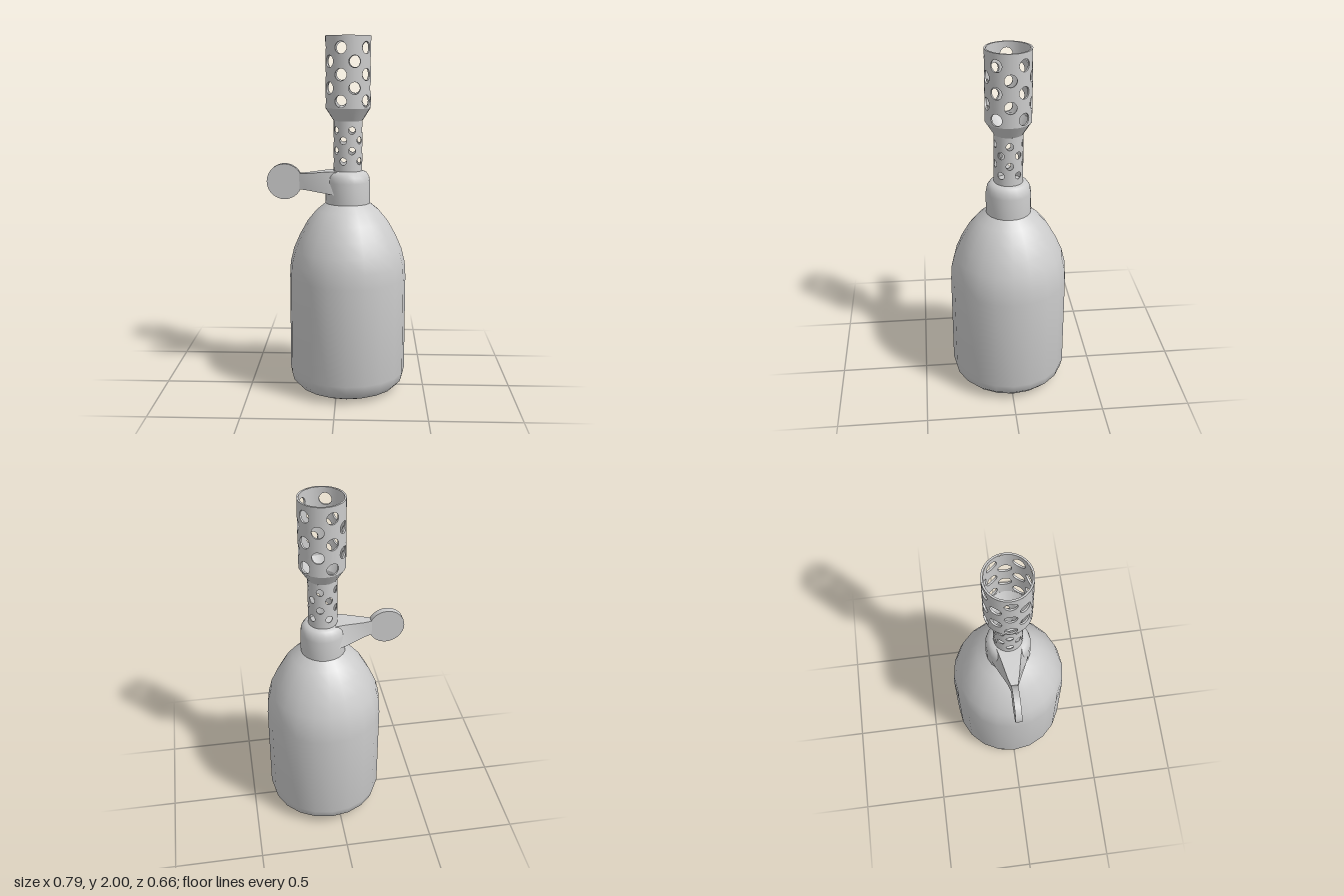
import * as THREE from 'three';
import { toCreasedNormals } from 'three/addons/utils/BufferGeometryUtils.js';

const grey = new THREE.MeshStandardMaterial({ color: 0xcccccc });

function part(name, geometry, parent) {
  const mesh = new THREE.Mesh(geometry, grey);
  mesh.name = name;
  parent.add(mesh);
  return mesh;
}

function lathe(profile, sides, crease = 0.6) {
  const points = profile.map(([r, y]) => new THREE.Vector2(r, y));
  return toCreasedNormals(new THREE.LatheGeometry(points, sides), crease);
}

// Tube wall of ten columns; even and odd columns carry staggered round holes.
function perforatedTube({ outer, inner, y0, y1, hole, even, odd }) {
  const pos = [], nor = [];
  const W = Math.PI / 10 * outer;

  // One rectangular cell with a drilled hole, bent round the axis
  const addCell = (centre, yc, low, high) => {
    const up = high - yc, down = yc - low;
    const angles = [Math.atan2(up, W), Math.atan2(up, -W), Math.atan2(-down, -W), Math.atan2(-down, W)];
    for (let i = 0; i < 20; i++) angles.push((i / 20) * Math.PI * 2 - Math.PI);
    angles.sort((a, b) => a - b);
    angles.push(angles[0] + Math.PI * 2);

    const columns = angles.map(t => {
      const c = Math.cos(t), s = Math.sin(t);
      const reach = Math.min(W / Math.max(Math.abs(c), 1e-6), (s > 0 ? up : down) / Math.max(Math.abs(s), 1e-6));
      const point = (r, a, y) => [r * Math.sin(centre + a), y, r * Math.cos(centre + a)];
      const radial = (a, k) => [k * Math.sin(centre + a), 0, k * Math.cos(centre + a)];
      const edge = reach * c / outer, yEdge = yc + reach * s;
      const aOut = Math.asin(hole * c / outer), aIn = Math.asin(hole * c / inner), yHole = yc + hole * s;
      const toAxis = [-c * Math.cos(centre), -s, c * Math.sin(centre)];
      const pOut = point(outer, aOut, yHole), pIn = point(inner, aIn, yHole);
      return [
        [point(outer, edge, yEdge), radial(edge, 1)], [pOut, radial(aOut, 1)],
        [pOut, toAxis], [pIn, toAxis],
        [pIn, radial(aIn, -1)], [point(inner, edge, yEdge), radial(edge, -1)],
      ];
    });
    for (let i = 0; i < columns.length - 1; i++) {
      const a = columns[i], b = columns[i + 1];
      for (let k = 0; k < 6; k += 2) {
        for (const v of [a[k], b[k], b[k + 1], a[k], b[k + 1], a[k + 1]]) {
          pos.push(...v[0]);
          nor.push(...v[1]);
        }
      }
    }
  };

  for (let col = 0; col < 10; col++) {
    const rows = col % 2 ? odd : even;
    const centre = (col - 0.5) * Math.PI / 5;
    rows.forEach((y, i) => {
      const low = i === 0 ? y0 : (rows[i - 1] + y) / 2;
      const high = i === rows.length - 1 ? y1 : (y + rows[i + 1]) / 2;
      addCell(centre, y, low, high);
    });
  }
  const geo = new THREE.BufferGeometry();
  geo.setAttribute('position', new THREE.Float32BufferAttribute(pos, 3));
  geo.setAttribute('normal', new THREE.Float32BufferAttribute(nor, 3));
  return geo;
}

// Four-cornered sections [x, yTop, yBottom, zTop, zBottom] joined along x
function loftArm(sections) {
  const pos = [], index = [];
  for (const [x, yt, yb, zt, zb] of sections) {
    pos.push(x, yt, zt, x, yt, -zt, x, yb, -zb, x, yb, zb);
  }
  const n = sections.length;
  for (let i = 0; i < n - 1; i++) {
    for (let k = 0; k < 4; k++) {
      const a = i * 4 + k, b = i * 4 + (k + 1) % 4;
      index.push(a, a + 4, b, b, a + 4, b + 4);
    }
  }
  const e = (n - 1) * 4;
  index.push(0, 1, 2, 0, 2, 3, e, e + 2, e + 1, e, e + 3, e + 2);
  const geo = new THREE.BufferGeometry();
  geo.setAttribute('position', new THREE.Float32BufferAttribute(pos, 3));
  geo.setIndex(index);
  return toCreasedNormals(geo, 0.5);
}

export function createModel() {
  const root = new THREE.Group();
  root.name = 'gasBottleWithBurner';
  const axis = new THREE.Group();
  axis.name = 'bottleAssembly';
  axis.position.x = 0.06;
  root.add(axis);

  // Bottle with rounded base and domed shoulder
  part('bottle', lathe([
    [0, 0], [0.23, 0], [0.285, 0.025], [0.318, 0.06], [0.33, 0.11], [0.33, 0.66], [0.325, 0.74],
    [0.305, 0.82], [0.27, 0.9], [0.225, 0.98], [0.175, 1.04], [0.12, 1.085],
  ], 20), axis);

  // Valve collar
  part('collar', lathe([
    [0.125, 1.07], [0.125, 1.2], [0.119, 1.232], [0.103, 1.255], [0.08, 1.263], [0, 1.263],
  ], 20, 0.75), axis);

  // Burner: narrow perforated stem, flare and wide perforated head
  part('burnerStem', perforatedTube({
    outer: 0.08, inner: 0.075, y0: 1.25, y1: 1.54, hole: 0.02,
    even: [1.32, 1.435], odd: [1.378, 1.49],
  }), axis);
  part('burnerFlare', lathe([
    [0.115, 1.61], [0.075, 1.54], [0.08, 1.54], [0.125, 1.61], [0.115, 1.61],
  ], 20), axis);
  part('burnerHead', perforatedTube({
    outer: 0.125, inner: 0.115, y0: 1.61, y1: 2, hole: 0.033,
    even: [1.65, 1.792, 1.935], odd: [1.72, 1.862],
  }), axis);
  const rim = part('burnerRim', new THREE.RingGeometry(0.115, 0.125, 40), axis);
  rim.rotation.x = -Math.PI / 2;
  rim.position.y = 2;

  // Valve handle: tapering arm and round knob
  const handle = new THREE.Group();
  handle.name = 'valveHandle';
  root.add(handle);
  part('handleArm', loftArm([
    [-0.215, 1.245, 1.157, 0.017, 0.017],
    [-0.165, 1.248, 1.153, 0.031, 0.033],
    [-0.055, 1.26, 1.141, 0.055, 0.085],
    [0.0, 1.263, 1.135, 0.068, 0.106],
  ]), handle);
  const knob = part('handleKnob', toCreasedNormals(new THREE.CylinderGeometry(0.1, 0.1, 0.036, 32), 0.6), handle);
  knob.rotation.x = Math.PI / 2;
  knob.position.set(-0.295, 1.2, 0);

  return root;
}
